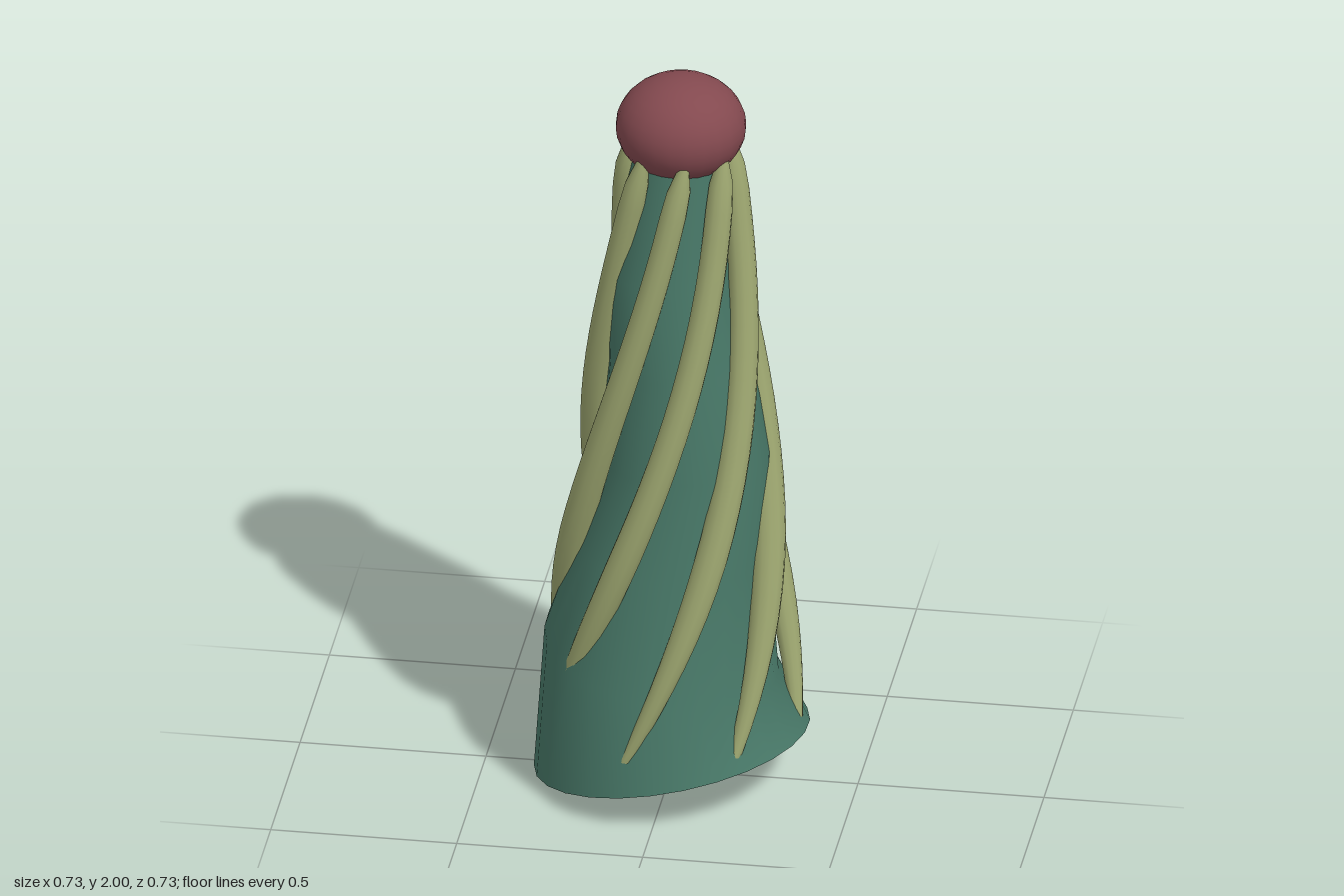
import * as THREE from 'three';

// Skin a list of rings {x, y, z, r, sx, sz}; sx and sz tilt the ring's plane. The lower end is capped.
function loft(rings, sides) {
  const pos = [], index = [];
  const addRing = ({ x, y, z, r, sx = 0, sz = 0 }) => {
    for (let j = 0; j < sides; j++) {
      const a = ((j + 0.5) / sides) * Math.PI * 2;
      const dx = r * Math.cos(a), dz = r * Math.sin(a);
      pos.push(x + dx, y + sx * dx + sz * dz, z + dz);
    }
  };
  rings.forEach(addRing);
  for (let i = 0; i < rings.length - 1; i++) {
    for (let j = 0; j < sides; j++) {
      const k = (j + 1) % sides;
      const a = i * sides + j, b = i * sides + k;
      index.push(a, a + sides, b, b, a + sides, b + sides);
    }
  }
  // separate cap vertices keep the rim sharp
  const start = pos.length / 3;
  addRing(rings[0]);
  pos.push(rings[0].x, rings[0].y, rings[0].z);
  for (let j = 0; j < sides; j++) index.push(start + sides, start + j, start + ((j + 1) % sides));
  const geo = new THREE.BufferGeometry();
  geo.setAttribute('position', new THREE.Float32BufferAttribute(pos, 3));
  geo.setIndex(index);
  geo.computeVertexNormals();
  return geo;
}

// vine half-width from the pointed foot (t = 0) to the rounded top (t = 1)
function vineWidth(t) {
  const foot = THREE.MathUtils.lerp(0.018, 0.045, Math.sin(Math.min(t / 0.35, 1) * Math.PI / 2));
  const top = THREE.MathUtils.lerp(0.045, 0.035, Math.max((t - 0.35) / 0.65, 0));
  const tip = Math.min(1, 0.4 + (1 - t) * 12);
  return Math.min(foot, top) * tip;
}

export function createModel() {
  const group = new THREE.Group();
  const material = (name, color) => {
    const m = new THREE.MeshStandardMaterial({ color });
    m.name = name;
    return m;
  };
  const green = material('deep green', 0x467565);
  const olive = material('olive', 0x99a26d);
  const maroon = material('maroon', 0x83494f);
  const add = (name, geo, mat) => {
    const mesh = new THREE.Mesh(geo, mat);
    mesh.name = name;
    group.add(mesh);
    return mesh;
  };

  // leaning, slightly wavering trunk on a slanted foot
  const trunkRings = [
    { x: 0, y: 0.085, z: 0, r: 0.367, sx: 0.215, sz: 0.08 },
    { x: -0.03, y: 0.36, z: -0.012, r: 0.311, sx: -0.2, sz: -0.05 },
    { x: -0.005, y: 0.66, z: -0.05, r: 0.254, sx: -0.05 },
    { x: 0.028, y: 0.93, z: -0.08, r: 0.226, sx: 0.05 },
    { x: 0.005, y: 1.2, z: -0.098, r: 0.188 },
    { x: -0.028, y: 1.46, z: -0.12, r: 0.167 },
    { x: 0, y: 1.82, z: -0.15, r: 0.115 },
  ];
  add('trunk', loft(trunkRings, 26), green);

  // seven vines winding up around the trunk
  const vines = 7, steps = 24, twist = 2.5 * (Math.PI * 2 / vines);
  for (let v = 0; v < vines; v++) {
    const rings = [];
    for (let i = 0; i <= steps; i++) {
      const t = i / steps;
      const y = 0.19 + 1.62 * t;
      const angle = (v / vines) * Math.PI * 2 - t * twist;
      const reach = 0.137 + 0.196 * Math.pow(1 - t, 1.1);
      rings.push({
        x: reach * Math.cos(angle),
        y,
        z: reach * Math.sin(angle) - 0.083 * y + 0.01,
        r: vineWidth(t),
      });
    }
    add('vine' + (v + 1), loft(rings, 12), olive);
  }

  // flattened bulb on top
  const bulb = add('bulb', new THREE.SphereGeometry(0.174, 24, 16), maroon);
  bulb.scale.y = 0.805;
  bulb.position.set(0, 1.86, -0.153);

  return group;
}
